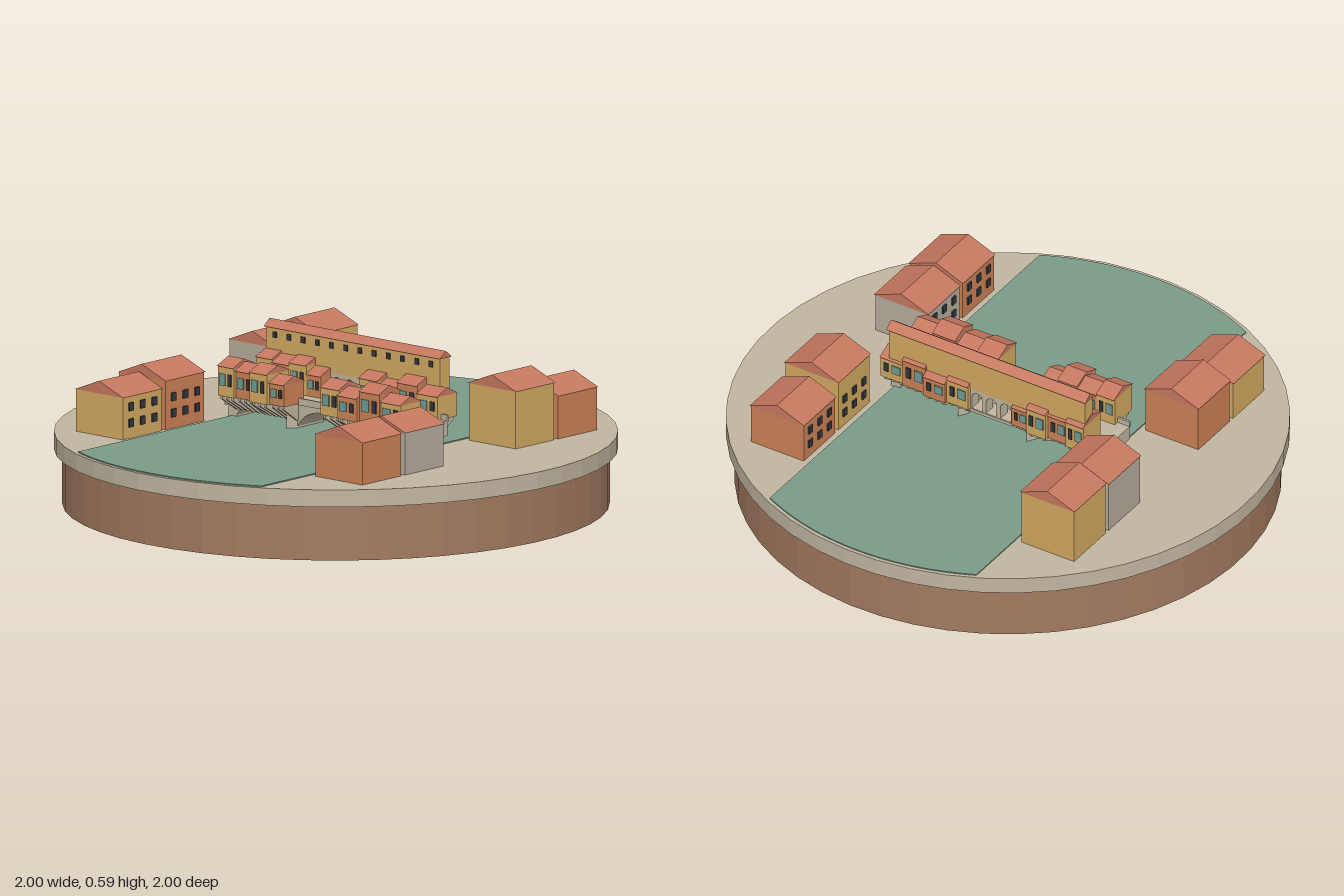
import * as THREE from 'three';

const mat = (name, color) => Object.assign(new THREE.MeshStandardMaterial({ color, flatShading: true }), { name });

export function createModel() {
  const M = {
    earth: mat('earth', 0xa37a60), stone: mat('stone', 0xc0b5a0), water: mat('water', 0x7a9b87),
    roof: mat('terracotta', 0xc5775f), yellow: mat('ochre plaster', 0xd2a960), orange: mat('orange plaster', 0xcb8255),
    grey: mat('grey plaster', 0xb6ac9c), dark: mat('window dark', 0x33363c), teal: mat('teal shutter', 0x6f9c94),
  };
  const GROUND = 0.262, DECK = 0.355;
  const model = new THREE.Group();
  model.name = 'riverTownDiorama';
  // everything on the disc is laid out along the bridge axis, turned 20 degrees
  const town = new THREE.Group();
  town.name = 'town';
  town.rotation.y = -Math.PI / 9;
  model.add(town);

  const add = (parent, name, geo, material, x = 0, y = 0, z = 0) => {
    const m = new THREE.Mesh(geo, material);
    m.name = name;
    m.position.set(x, y, z);
    parent.add(m);
    return m;
  };
  // box given by centre x, bottom y, centre z
  const box = (parent, name, material, x, y, z, w, h, d) =>
    add(parent, name, new THREE.BoxGeometry(w, h, d), material, x, y + h / 2, z);
  // outline in x/y extruded, centred on z
  const slab = (shape, d) =>
    new THREE.ExtrudeGeometry(shape, { depth: d, bevelEnabled: false, curveSegments: 14 }).translate(0, 0, -d / 2);
  const poly = (pts) => new THREE.Shape(pts.map(([x, y]) => new THREE.Vector2(x, y)));
  // gable roof with its ridge along z, or along x when alongX is set
  const roof = (parent, x, y, z, w, h, d, alongX) => {
    const span = alongX ? d : w, len = alongX ? w : d;
    const g = slab(poly([[-span / 2, 0], [span / 2, 0], [0, h]]), len);
    if (alongX) g.rotateY(Math.PI / 2);
    return add(parent, 'roof', g, M.roof, x, y, z);
  };

  // base
  add(model, 'earthBase', new THREE.CylinderGeometry(0.97, 0.97, 0.2, 48), M.earth, 0, 0.1, 0);
  add(model, 'groundDisc', new THREE.CylinderGeometry(1, 1, GROUND - 0.2, 48), M.stone, 0, (GROUND + 0.2) / 2, 0);

  // river: a strip clipped by the disc
  const R = 0.985, t = Math.acos(0.435 / R);
  const river = new THREE.Shape();
  river.absarc(0, 0, R, t, Math.PI - t, false);
  river.absarc(0, 0, R, Math.PI + t, 2 * Math.PI - t, false);
  river.closePath();
  const riverGeo = new THREE.ExtrudeGeometry(river, { depth: 0.005, bevelEnabled: false, curveSegments: 16 });
  add(town, 'river', riverGeo.rotateX(-Math.PI / 2), M.water, 0, GROUND - 0.001, 0);

  // bank houses: side, z, eave height, wall
  const houses = [
    [-1, -0.523, 0.48, 'yellow'], [-1, -0.297, 0.465, 'grey'], [-1, 0.291, 0.44, 'orange'], [-1, 0.518, 0.415, 'yellow'],
    [1, -0.523, 0.418, 'orange'], [1, -0.297, 0.47, 'yellow'], [1, 0.291, 0.415, 'grey'], [1, 0.518, 0.415, 'orange'],
  ];
  for (const [side, z, eave, wall] of houses) {
    const g = new THREE.Group();
    g.name = 'bankHouse';
    g.position.set(side * 0.569, 0, z);
    town.add(g);
    box(g, 'walls', M[wall], 0, GROUND, 0, 0.222, eave - GROUND, 0.205);
    roof(g, 0, eave, 0, 0.23, 0.046, 0.212);
    // windows face the river
    for (const y of [0.303, 0.362])
      for (const dz of [-0.062, 0, 0.062])
        box(g, 'window', M.dark, -side * 0.113, y, dz, 0.008, 0.03, 0.024);
  }

  // bridge: outline with three segmental arches
  const bridge = new THREE.Group();
  bridge.name = 'bridge';
  town.add(bridge);
  const span = new THREE.Shape();
  span.moveTo(-0.47, DECK);
  span.lineTo(-0.47, 0.3);
  span.lineTo(-0.45, 0.3);
  span.lineTo(-0.45, GROUND);
  for (const c of [-0.288, 0, 0.288]) {
    span.lineTo(c - 0.122, GROUND);
    span.lineTo(c - 0.122, 0.272);
    span.quadraticCurveTo(c - 0.085, 0.334, c, 0.334);
    span.quadraticCurveTo(c + 0.085, 0.334, c + 0.122, 0.272);
    span.lineTo(c + 0.122, GROUND);
  }
  span.lineTo(0.45, GROUND);
  span.lineTo(0.45, 0.3);
  span.lineTo(0.47, 0.3);
  span.lineTo(0.47, DECK);
  add(bridge, 'archedSpan', slab(span, 0.136), M.stone);
  for (const s of [-1, 1]) {
    // pointed pier noses
    for (const x of [-0.144, 0.144]) {
      const nose = slab(poly([[-0.022, 0], [0.022, 0], [0, 0.035]]), 0.05).rotateX(Math.PI / 2);
      if (s < 0) nose.rotateY(Math.PI);
      add(bridge, 'pierNose', nose, M.stone, x, GROUND + 0.025, s * 0.068);
    }
    box(bridge, 'parapet', M.stone, 0, DECK - 0.005, s * 0.069, 0.94, 0.025, 0.008);
  }

  // shops along both edges: x, width, wall height, outer z, wall
  const shops = [
    [-0.382, 0.076, 0.108, 0.158, 'yellow'], [-0.304, 0.08, 0.098, 0.148, 'orange'],
    [-0.223, 0.082, 0.108, 0.164, 'yellow'], [-0.147, 0.07, 0.078, 0.15, 'orange'],
    [0.112, 0.09, 0.1, 0.158, 'yellow'], [0.203, 0.092, 0.084, 0.168, 'orange'],
    [0.297, 0.096, 0.11, 0.154, 'orange'], [0.394, 0.096, 0.084, 0.148, 'yellow'],
  ];
  for (const s of [-1, 1])
    for (const [x, w, h, outer, wall] of shops) {
      const g = new THREE.Group();
      g.name = 'bridgeShop';
      g.position.set(x, DECK, 0);
      bridge.add(g);
      const inner = 0.046, d = outer - inner, mid = s * (inner + outer) / 2;
      box(g, 'walls', M[wall], 0, 0, mid, w, h, d);
      roof(g, 0, h, mid, w, 0.027, d + 0.014, true);
      // shutters and windows, on the river and on the street
      for (const z of [s * outer, s * inner]) {
        box(g, 'shutter', M.teal, -w * 0.2, h * 0.36, z, w * 0.36, h * 0.4, 0.008);
        box(g, 'window', M.dark, w * 0.24, h * 0.36, z, w * 0.2, h * 0.4, 0.008);
      }
      // slanted timber-like brackets under the overhang
      for (const k of [-0.34, 0, 0.34]) {
        const b = slab(poly([[0.064, 0], [0.064, -0.062], [0.072, -0.062], [outer - 0.006, -0.012], [outer - 0.006, 0]]), 0.01);
        add(g, 'bracket', b.rotateY(-s * Math.PI / 2), M.stone, w * k, 0, 0);
      }
    }

  // raised corridor over the back row of shops
  const corridor = new THREE.Group();
  corridor.name = 'raisedCorridor';
  corridor.position.z = -0.12;
  bridge.add(corridor);
  box(corridor, 'walls', M.yellow, -0.004, 0.44, 0, 0.826, 0.126, 0.05);
  roof(corridor, -0.004, 0.566, 0, 0.838, 0.025, 0.064, true);
  for (let i = 0; i < 12; i++)
    box(corridor, 'window', M.dark, -0.375 + i * 0.0675, 0.53, 0.025, 0.018, 0.022, 0.008);
  // open arcade carrying it at mid-span
  box(corridor, 'arcadeFloor', M.stone, -0.022, DECK - 0.012, 0.01, 0.18, 0.012, 0.07);
  const arcade = poly([[-0.112, DECK], [0.068, DECK], [0.068, 0.441], [-0.112, 0.441]]);
  for (const c of [-0.082, -0.022, 0.038]) {
    const hole = new THREE.Path();
    hole.moveTo(c - 0.022, DECK + 0.002);
    hole.lineTo(c + 0.022, DECK + 0.002);
    hole.lineTo(c + 0.022, 0.405);
    hole.absarc(c, 0.405, 0.022, 0, Math.PI, false);
    hole.closePath();
    arcade.holes.push(hole);
  }
  add(corridor, 'arcade', slab(arcade, 0.046), M.stone);
  return model;
}
